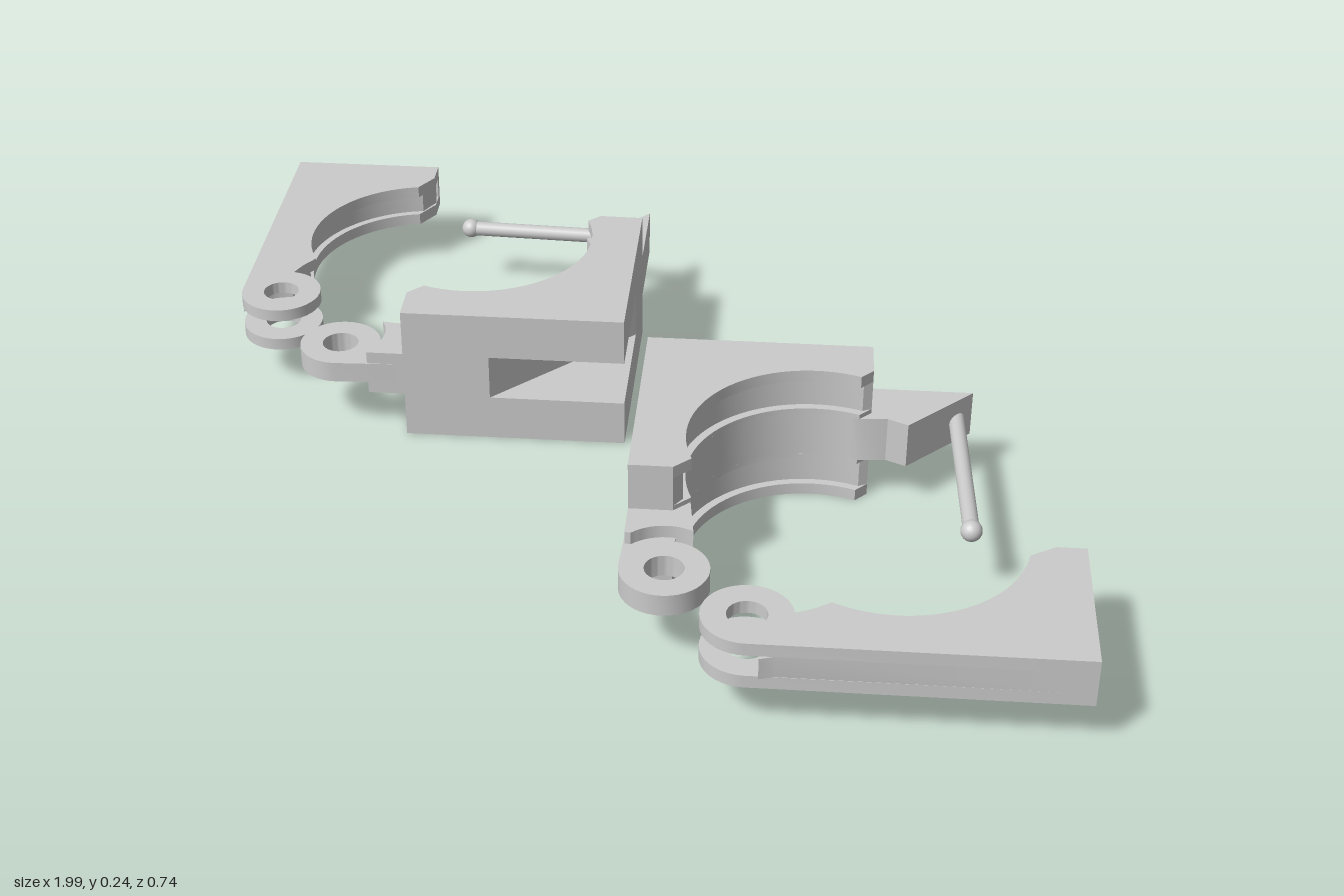
import * as THREE from 'three';
import { toCreasedNormals } from 'three/addons/utils/BufferGeometryUtils.js';

const rad = THREE.MathUtils.degToRad;
const material = new THREE.MeshStandardMaterial({ color: 0xcccccc, side: THREE.DoubleSide });
const HEIGHT = 0.236;
const ARM = [0.079, 0.157]; // height range of the slim arms
const TONGUE = [0.1, 0.136]; // height range of the hinge tongue

function addMesh(parent, name, geometry) {
  const mesh = new THREE.Mesh(geometry, material);
  mesh.name = name;
  parent.add(mesh);
  return mesh;
}

// Points along an arc in plan (x, z), angles in degrees
function arc(cx, cz, r, from, to, steps = 28) {
  return Array.from({ length: steps + 1 }, (_, i) => {
    const a = rad(from + ((to - from) * i) / steps);
    return [cx + r * Math.cos(a), cz + r * Math.sin(a)];
  });
}

// Horizontal slab between two heights, from a plan outline and an optional round hole
function slab(parent, name, [low, high], points, hole) {
  const shape = new THREE.Shape(points.map(([x, z]) => new THREE.Vector2(x, z)));
  if (hole) shape.holes.push(new THREE.Path().absarc(hole[0], hole[1], hole[2], 0, Math.PI * 2, true));
  const geometry = new THREE.ExtrudeGeometry(shape, { depth: high - low, bevelEnabled: false, curveSegments: 28 });
  geometry.rotateX(Math.PI / 2).translate(0, high, 0);
  return addMesh(parent, name, toCreasedNormals(geometry, rad(30)));
}

// Forked half: tall corner plates, slim arm, hinge tongue and latch pin
function createInnerHalf() {
  const half = new THREE.Group();
  half.name = 'innerHalf';
  const cx = 0.42;
  const bore = 0.195;
  const groove = 0.208;

  // Corner plates, each with a shallow channel in the bore
  const plate = (r) => [
    [0.03, 0], [0.292, 0.262], [0.34, 0.214],
    ...arc(cx, 0, r, 114, 246),
    [0.34, -0.206], [0.287, -0.257],
  ];
  const layers = [[0.157, 0.165, bore], [0.165, 0.216, groove], [0.216, HEIGHT, bore]];
  for (const [low, high, r] of layers) {
    slab(half, 'upperPlate', [low, high], plate(r));
    slab(half, 'lowerPlate', [HEIGHT - high, HEIGHT - low], plate(r));
  }

  // Slim arm between the plates, leaving the corner slot open
  slab(half, 'innerArm', ARM, [
    [0.19, 0.16], [0.335, 0.305],
    ...arc(cx, 0.3, 0.077, 180, 255, 10),
    ...arc(cx, 0, bore, 115, 246),
    [0.37, -0.213], [0.404, -0.225], [0.404, -0.374], [0.19, -0.16],
  ]);

  // Hinge tongue with eye
  slab(half, 'hingeTongue', TONGUE, [
    [0.3, 0.27], ...arc(cx, 0.3, 0.068, 135, -126), [0.35, 0.21],
  ], [cx, 0.3, 0.03]);

  // Latch pin with a round tip
  const start = new THREE.Vector3(0.39, 0.118, -0.352);
  const end = new THREE.Vector3(0.63, 0.118, -0.133);
  addMesh(half, 'latchPin', new THREE.TubeGeometry(new THREE.LineCurve3(start, end), 1, 0.013, 16));
  addMesh(half, 'pinTip', new THREE.SphereGeometry(0.017, 20, 14)).position.copy(end);
  return half;
}

// Outer half: slim arm with hinge fork and a socket for the pin
function createOuterHalf() {
  const half = new THREE.Group();
  half.name = 'outerHalf';
  const cx = 0.6;
  const tip = [[0.995, 0], [0.807, -0.188]];

  // Full-outline cheeks ending in the two hinge eyes
  const cheek = [
    ...tip, [0.775, -0.156],
    ...arc(cx, 0, 0.198, -34, 73),
    [0.652, 0.22],
    ...arc(cx, 0.3, 0.068, -52, -315),
  ];
  slab(half, 'lowerCheek', [ARM[0], TONGUE[0]], cheek, [cx, 0.3, 0.03]);
  slab(half, 'upperCheek', [TONGUE[1], ARM[1]], cheek, [cx, 0.3, 0.03]);

  // Core with a bore channel, pin socket and clearance for the tongue
  slab(half, 'armCore', TONGUE, [
    ...tip, [0.799, -0.18], [0.834, -0.145], [0.817, -0.128], [0.782, -0.163],
    ...arc(cx, 0, 0.21, -36, 73),
    ...arc(cx, 0.3, 0.077, -45, 30, 10),
    [0.678, 0.317],
  ]);
  return half;
}

export function createModel() {
  const model = new THREE.Group();
  model.name = 'hingedClasps';
  for (const side of ['left', 'right']) {
    const clasp = new THREE.Group();
    clasp.name = `${side}Clasp`;
    clasp.add(createInnerHalf(), createOuterHalf());
    // The clasp is symmetric in height, so a half turn mirrors it across x
    if (side === 'right') {
      clasp.rotation.z = Math.PI;
      clasp.position.y = HEIGHT;
    }
    model.add(clasp);
  }
  return model;
}
